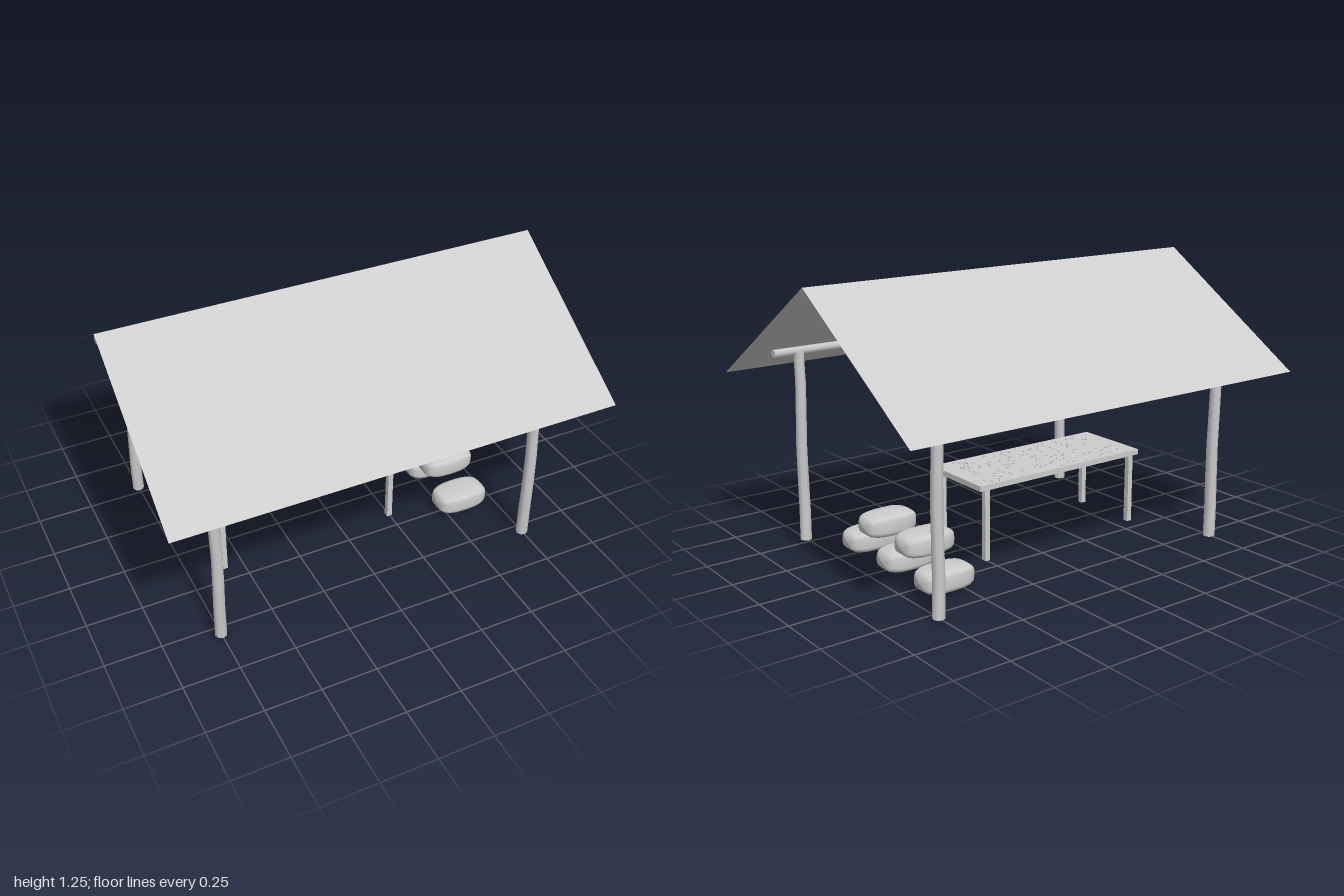
import * as THREE from 'three';

const grey = new THREE.MeshStandardMaterial({ color: 0xcccccc, side: THREE.DoubleSide });
grey.name = 'plain grey';

// seeded random numbers
let seed = 7;
const rand = () => (seed = (seed * 16807) % 2147483647) / 2147483647;

export function createModel() {
  const model = new THREE.Group();
  const add = (name, geometry, x, y, z) => {
    const mesh = new THREE.Mesh(geometry, grey);
    mesh.name = name;
    mesh.position.set(x, y, z);
    model.add(mesh);
    return mesh;
  };

  // thin sheet gable roof
  const [ridgeY, eaveY, eaveZ] = [1.253, 0.777, 0.752];
  for (const side of [1, -1]) {
    const slope = new THREE.PlaneGeometry(2, Math.hypot(eaveZ, ridgeY - eaveY));
    slope.rotateX(-Math.atan2(eaveZ, ridgeY - eaveY));
    if (side < 0) slope.rotateY(Math.PI);
    add(side > 0 ? 'frontRoof' : 'backRoof', slope, 0, (ridgeY + eaveY) / 2, side * eaveZ / 2);
  }

  // six-sided poles carrying the roof
  const pole = new THREE.CylinderGeometry(0.019, 0.019, 1.74, 6).rotateZ(Math.PI / 2);
  add('ridgePole', pole, 0, 1.213, 0);
  for (const z of [0.54, -0.54]) add('eavePole', pole, 0, 0.88, z);

  // slightly crooked corner posts
  for (const x of [-0.75, 0.75]) for (const z of [-0.54, 0.54]) {
    const post = new THREE.CylinderGeometry(0.024, 0.027, 0.88, 8, 6);
    const p = post.attributes.position;
    const bend = z > 0 ? 0.006 : 0.002;
    for (let i = 0; i < p.count; i++) {
      const t = p.getY(i) / 0.88 + 0.5;
      p.setX(i, p.getX(i) + 0.003 * Math.sin(t * 9 + x * 4));
      p.setZ(i, p.getZ(i) + bend * Math.sin(t * Math.PI * 2));
    }
    post.computeVertexNormals();
    add('post', post, x, 0.44, z);
  }

  // table with square legs
  add('tableTop', new THREE.BoxGeometry(0.916, 0.025, 0.37), -0.168, 0.338, 0);
  const leg = new THREE.BoxGeometry(0.025, 0.326, 0.025);
  for (const x of [-0.586, 0.248]) for (const z of [-0.166, 0.166]) add('tableLeg', leg, x, 0.163, z);

  // beans scattered over the table
  const bean = new THREE.SphereGeometry(0.005, 6, 4).scale(1.2, 0.75, 0.8);
  for (let i = 0; i < 140; i++) {
    const b = add('bean', bean, -0.17 + (rand() - 0.5) * 0.82, 0.3535, (rand() - 0.5) * 0.33);
    b.rotation.y = rand() * Math.PI;
  }

  // hanging lamp
  add('lampCord', new THREE.CylinderGeometry(0.0025, 0.0025, 0.22, 6), 0.5, 0.77, 0);
  const shade = [[0, 0.608], [0.03, 0.612], [0.055, 0.62], [0.061, 0.643], [0.03, 0.656], [0, 0.665]];
  add('lampShade', new THREE.LatheGeometry(shade.map(([r, y]) => new THREE.Vector2(r, y)), 10), 0.5, 0, 0);

  // stacked sacks: a sphere squared off into a plump pillow
  const sack = new THREE.SphereGeometry(1, 14, 10);
  sack.rotateZ(Math.PI / 2);
  const s = sack.attributes.position;
  const plump = (v, e) => Math.sign(v) * Math.abs(v) ** e;
  for (let i = 0; i < s.count; i++) {
    s.setXYZ(i, 0.125 * plump(s.getX(i), 0.75), 0.052 * plump(s.getY(i), 0.5), 0.078 * plump(s.getZ(i), 0.5));
  }
  sack.computeVertexNormals();
  for (const z of [0.25, -0.04, -0.33]) add('lowerSack', sack, 0.58, 0.062, z);
  for (const z of [0.105, -0.187]) add('upperSack', sack, 0.58, 0.174, z);

  return model;
}
